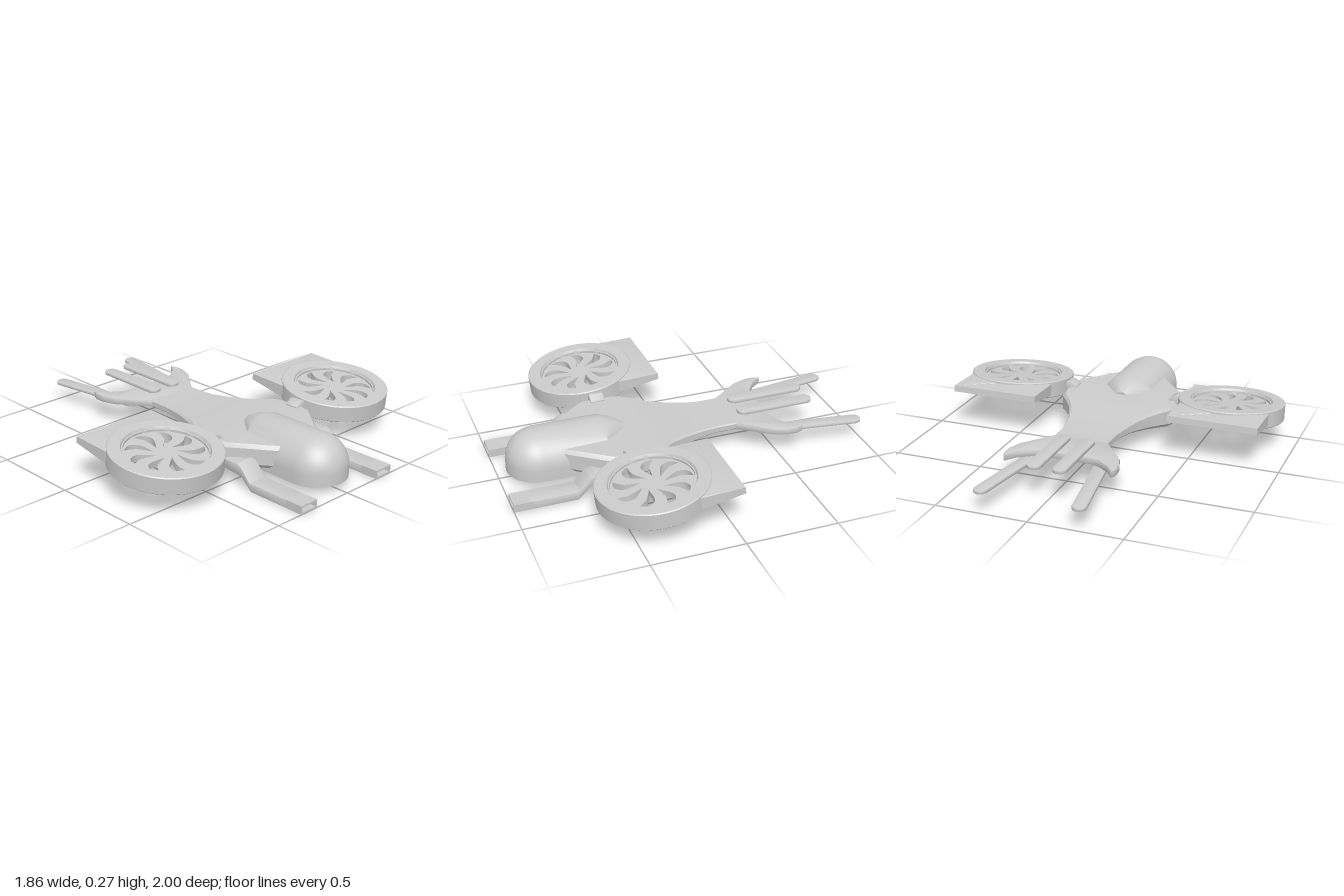
import * as THREE from 'three';
import { toCreasedNormals } from 'three/addons/utils/BufferGeometryUtils.js';

const material = new THREE.MeshStandardMaterial({ color: 0xcccccc });

function add(parent, name, geometry, x = 0, y = 0, z = 0) {
  const mesh = new THREE.Mesh(toCreasedNormals(geometry, 0.5), material);
  mesh.name = name;
  mesh.position.set(x, y, z);
  parent.add(mesh);
  return mesh;
}

// Closed skin over equal loops of [x, y, z], counterclockwise from +z, running front to back
function loft(loops) {
  const n = loops[0].length, last = (loops.length - 1) * n, index = [];
  for (let i = 0; i < loops.length - 1; i++) {
    for (let j = 0; j < n; j++) {
      const a = i * n + j, b = i * n + (j + 1) % n;
      index.push(a, a + n, b, b, a + n, b + n);
    }
  }
  for (let j = 1; j < n - 1; j++) {
    index.push(0, j, j + 1, last, last + j + 1, last + j);
  }
  const geometry = new THREE.BufferGeometry();
  geometry.setAttribute('position', new THREE.Float32BufferAttribute(loops.flat(2), 3));
  geometry.setIndex(index);
  geometry.computeVertexNormals();
  return geometry;
}

const polygon = (points) => new THREE.Shape(points.map(([x, y]) => new THREE.Vector2(x, y)));

function extrude(shape, depth, bevel = 0) {
  const geometry = new THREE.ExtrudeGeometry(shape, {
    depth: depth - 2 * bevel, curveSegments: 24, bevelEnabled: bevel > 0,
    bevelSize: bevel, bevelOffset: -bevel, bevelThickness: bevel, bevelSegments: 2,
  });
  return geometry.translate(0, 0, bevel);
}

// Lays an extrusion flat: shape y becomes -z, depth becomes height
const flat = (shape, depth, bevel) => extrude(shape, depth, bevel).rotateX(-Math.PI / 2);

// Stands a side profile of [z, y] points up, centred across x
function sideProfile(points, width, bevel) {
  return extrude(polygon(points.map(([z, y]) => [-z, y])), width, bevel)
    .rotateY(Math.PI / 2).translate(-width / 2, 0, 0);
}

// Hull: z, half width, top, bottom
function hullGeometry() {
  const stations = [
    [0.67, 0.155, 0.19, 0.065], [0.45, 0.328, 0.195, 0.065], [0.40, 0.335, 0.195, 0.066],
    [0.26, 0.335, 0.192, 0.072], [0.22, 0.325, 0.19, 0.076], [0.16, 0.278, 0.186, 0.083],
    [0.095, 0.235, 0.18, 0.091], [0.02, 0.203, 0.173, 0.103], [-0.05, 0.18, 0.167, 0.112],
    [-0.12, 0.163, 0.162, 0.117], [-0.19, 0.153, 0.16, 0.12], [-0.31, 0.153, 0.16, 0.12],
  ];
  return loft(stations.map(([z, w, t, b]) => {
    const c = (t - b) * 0.16;
    const half = [[w - c, b], [w, b + c], [w, t - c], [w - c, t]];
    const mirrored = half.map(([x, y]) => [-x, y]).reverse();
    return [...half, ...mirrored].map(([x, y]) => [x, y, z]);
  }));
}

// Canopy: round arch on straight walls, domed nose, tapered tail
function canopyGeometry() {
  const stations = [];
  for (let i = 0; i <= 14; i++) {
    const a = (1 - i / 14) * Math.PI / 2;
    const c = Math.max(Math.cos(a), 0.005);
    stations.push([0.785 + 0.17 * Math.sin(a), 0.17 * c, 0.165 * c, 0.035]);
  }
  stations.push([0.43, 0.17, 0.165, 0.035], [0.37, 0.12, 0.15, 0.046], [0.305, 0.06, 0.115, 0.06]);
  return loft(stations.map(([z, w, h, b]) => {
    const loop = [[w, b, z]];
    for (let k = 0; k <= 24; k++) {
      const a = k / 24 * Math.PI;
      loop.push([w * Math.cos(a), 0.095 + h * Math.sin(a), z]);
    }
    loop.push([-w, b, z]);
    return loop;
  }));
}

// Forked tail plate
function tailGeometry() {
  const half = [[0.153, 0.30], [0.28, 0.466], [0.308, 0.545], [0.308, 0.60], [0.294, 0.633],
    [0.25, 0.575], [0.185, 0.528], [0.135, 0.512]];
  const mirrored = half.map(([x, y]) => [-x, y]).reverse();
  return flat(polygon([...half, ...mirrored]), 0.042, 0.01);
}

// Round-ended bar running back from the origin
function barGeometry(length, r, height) {
  const shape = new THREE.Shape();
  shape.absarc(0, r, r, Math.PI, Math.PI * 2, false);
  shape.absarc(0, length - r, r, 0, Math.PI, false);
  shape.closePath();
  return flat(shape, height, 0.004);
}

// Fan plate with swirled crescent openings
function fanGeometry(side) {
  const shape = new THREE.Shape().absarc(0, 0, 0.23, 0, Math.PI * 2, false);
  const count = 9;
  for (let i = 0; i < count; i++) {
    const turn = i / count * Math.PI * 2;
    const at = (r, a) => new THREE.Vector2(side * r * Math.cos(a + turn), r * Math.sin(a + turn));
    const outer = new THREE.SplineCurve(
      [at(0.06, 0), at(0.105, 0.36), at(0.155, 0.42), at(0.195, 0.25), at(0.207, 0.0)]);
    const inner = new THREE.SplineCurve(
      [at(0.207, 0.0), at(0.18, 0.06), at(0.145, 0.13), at(0.105, 0.12), at(0.06, 0)]);
    shape.holes.push(new THREE.Path([...outer.getPoints(14), ...inner.getPoints(14).slice(1, -1)]));
  }
  return flat(shape, 0.035);
}

// Tilted ducted fan with a tapered block behind it
function ductedFan(side) {
  const group = new THREE.Group();
  group.name = side > 0 ? 'leftFanUnit' : 'rightFanUnit';
  group.position.set(side * 0.635, 0.19, 0.353);
  group.rotation.x = 0.11;
  const ring = [[0.215, -0.047], [0.293, -0.047], [0.297, -0.043], [0.297, 0.042], [0.291, 0.047],
    [0.228, 0.047], [0.222, 0.035], [0.215, 0.035], [0.215, -0.047]];
  add(group, 'fanRing', new THREE.LatheGeometry(ring.map(([x, y]) => new THREE.Vector2(x, y)), 64));
  add(group, 'fanPlate', fanGeometry(side), 0, -0.012, 0);

  // Rear block, cut away by the round opening on its inner side
  const arc = [];
  for (let i = 0; i <= 20; i++) {
    const a = i / 20 * Math.PI;
    arc.push([0.25 * Math.cos(a), 0.25 * Math.sin(a)]);
  }
  const block = flat(polygon([[0.249, 0.395], [-0.249, 0.395], ...arc.reverse()]), 1);
  const p = block.attributes.position;
  for (let i = 0; i < p.count; i++) {
    const back = THREE.MathUtils.clamp((-p.getZ(i) - 0.25) / 0.145, 0, 1);
    const top = 0.045 - 0.03 * back, bottom = -0.045 + 0.025 * back;
    p.setY(i, p.getY(i) > 0.5 ? top : bottom);
  }
  block.computeVertexNormals();
  add(group, 'rearBlock', block);
  return group;
}

// Front skid: hollow rectangular tip on a cranked arm
function skid(side) {
  const group = new THREE.Group();
  group.name = side > 0 ? 'leftSkid' : 'rightSkid';
  group.position.x = side * 0.285;
  const w = 0.057;
  const tip = polygon([[-w, 0], [w, 0], [w, 0.045], [-w, 0.045]]);
  const m = 0.009;
  tip.holes.push(polygon([[-w + m, m], [w - m, m], [w - m, 0.045 - m], [-w + m, 0.045 - m]]));
  add(group, 'skidTip', extrude(tip, 0.1), 0, 0, 0.9);
  const arm = [[0.91, 0], [0.66, 0], [0.59, 0.062], [0.47, 0.072], [0.44, 0.12], [0.56, 0.125],
    [0.59, 0.11], [0.65, 0.045], [0.91, 0.045]];
  add(group, 'skidArm', sideProfile(arm, 2 * w, 0.003));
  return group;
}

export function createModel() {
  const model = new THREE.Group();
  model.name = 'fanCraft';
  add(model, 'hull', hullGeometry());
  add(model, 'canopy', canopyGeometry());
  add(model, 'tailPlate', tailGeometry(), 0, 0.119, 0);

  for (const side of [1, -1]) {
    model.add(ductedFan(side), skid(side));

    // Bracket joining hull and fan
    const bracket = [[0.28, 0.14], [0.355, 0.14], [0.355, 0.22], [0.32, 0.225], [0.28, 0.2]];
    add(model, 'fanBracket', extrude(polygon(bracket.map(([x, y]) => [side * x, y])), 0.08, 0.004),
      0, 0, 0.315);

    // Tail bars
    add(model, 'innerTailBar', barGeometry(0.445, 0.038, 0.02), side * 0.07, 0.172, -0.34);
    add(model, 'outerTailBar', barGeometry(0.6, 0.037, 0.019), side * 0.177, 0.101, -0.408)
      .rotation.y = -side * 0.15;
    // Post carrying the raised bar
    add(model, 'barPost', new THREE.BoxGeometry(0.04, 0.03, 0.1), side * 0.07, 0.165, -0.43);
  }
  return model;
}
